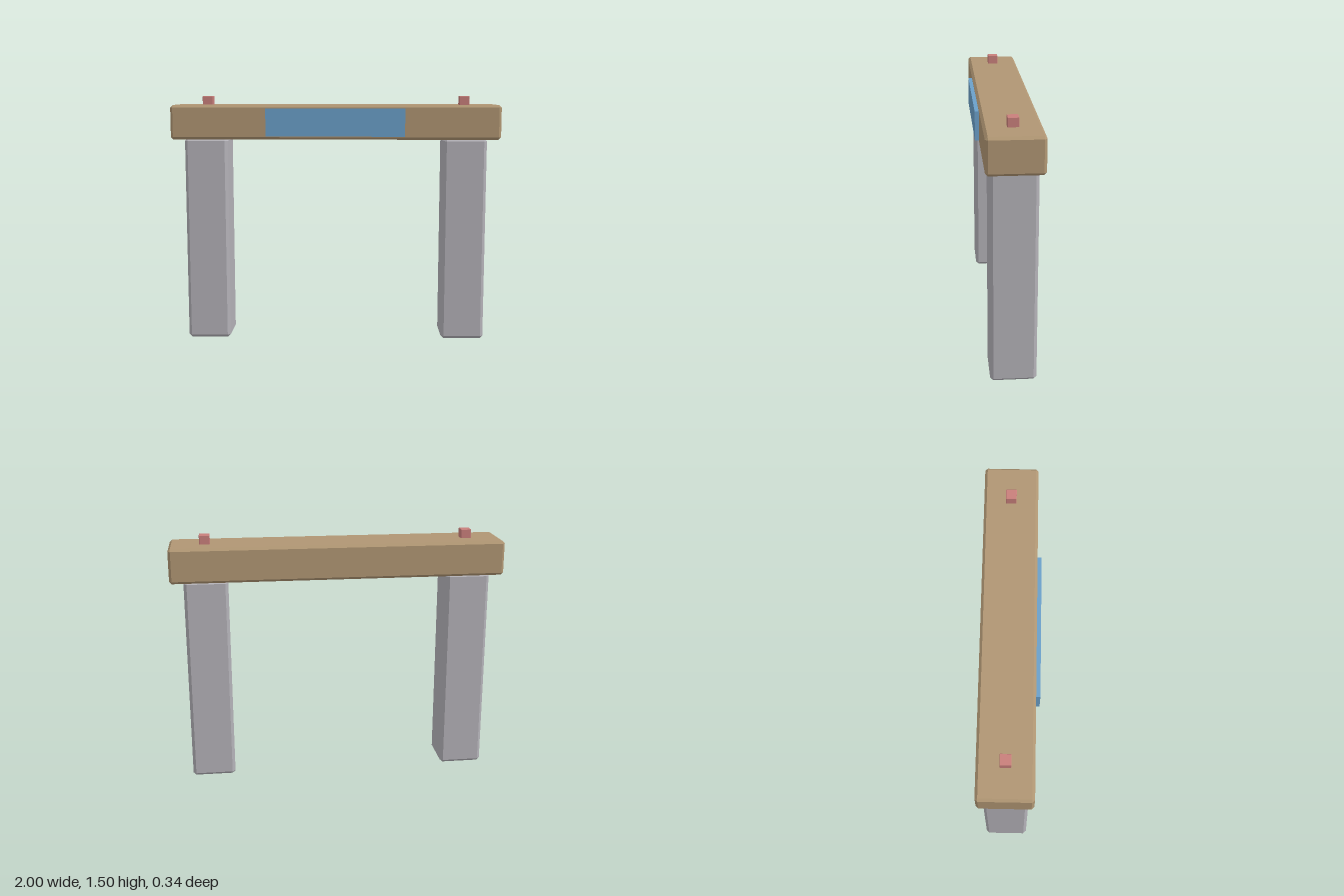
import * as THREE from 'three';
import { ConvexGeometry } from 'three/addons/geometries/ConvexGeometry.js';

// Box with every edge cut by a flat bevel b
function bevelBox(w, h, d, b) {
  const pts = [];
  for (const x of [-1, 1]) for (const y of [-1, 1]) for (const z of [-1, 1]) {
    for (let k = 0; k < 3; k++) {
      pts.push(new THREE.Vector3(
        x * (w / 2 - (k === 0 ? 0 : b)),
        y * (h / 2 - (k === 1 ? 0 : b)),
        z * (d / 2 - (k === 2 ? 0 : b))));
    }
  }
  return new ConvexGeometry(pts);
}

export function createModel() {
  const material = (name, color) => {
    const m = new THREE.MeshStandardMaterial({ color });
    m.name = name;
    return m;
  };
  const tan = material('tan', 0xb09673);
  const grey = material('grey', 0xb4b2b8);
  const blue = material('blue', 0x6ba0ca);
  const red = material('red', 0xc97f7b);

  const group = new THREE.Group();
  group.name = 'gateway';
  const add = (name, geometry, mat, x, y, z) => {
    const mesh = new THREE.Mesh(geometry, mat);
    mesh.name = name;
    mesh.position.set(x, y, z);
    group.add(mesh);
  };
  const midZ = -0.01;

  // Crossbeam and the sign panel on its front
  add('crossbeam', bevelBox(2, 0.208, 0.316, 0.015), tan, 0, 1.346, midZ);
  add('signPanel', new THREE.BoxGeometry(0.84, 0.168, 0.03), blue, 0, 1.346, 0.156);

  // Pillars, each with a small peg above it on the beam
  const pillar = bevelBox(0.262, 1.25, 0.262, 0.018);
  const peg = bevelBox(0.063, 0.063, 0.063, 0.003);
  for (const [side, x] of [['left', 0.789], ['right', -0.789]]) {
    add(side + 'Pillar', pillar, grey, x, 0.625, midZ);
    add(side + 'Peg', peg, red, x, 1.472, midZ);
  }
  return group;
}
